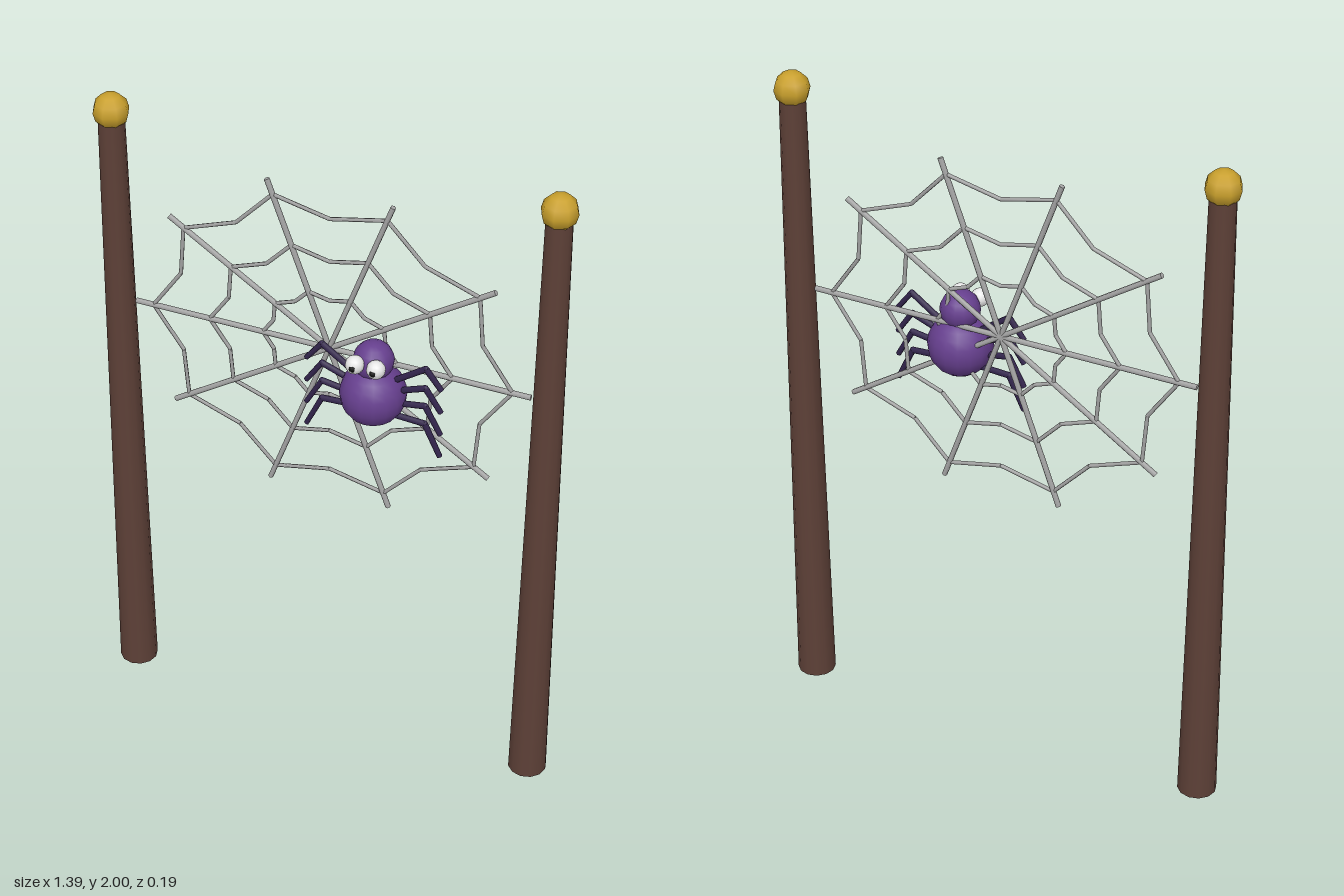
import * as THREE from 'three';

const mat = (name, color) => {
  const m = new THREE.MeshStandardMaterial({ color });
  m.name = name;
  return m;
};

export function createModel() {
  const wood = mat('brown wood', 0x5d4037);
  const gold = mat('gold', 0xc9a02c);
  const silk = mat('grey silk', 0xa6a6a6);
  const purple = mat('purple', 0x663f8e);
  const darkPurple = mat('dark purple', 0x32244c);
  const white = mat('white', 0xeeeeee);
  const black = mat('black', 0x111111);

  const model = new THREE.Group();
  model.name = 'webBetweenPosts';

  const add = (parent, name, geometry, material, x = 0, y = 0, z = 0) => {
    const mesh = new THREE.Mesh(geometry, material);
    mesh.name = name;
    mesh.position.set(x, y, z);
    parent.add(mesh);
    return mesh;
  };

  // Straight round rod between two points
  const up = new THREE.Vector3(0, 1, 0);
  const rod = (parent, name, a, b, r0, r1, sides, material) => {
    const dir = b.clone().sub(a);
    const mesh = add(parent, name, new THREE.CylinderGeometry(r1, r0, dir.length(), sides), material);
    mesh.position.copy(a).add(b).multiplyScalar(0.5);
    mesh.quaternion.setFromUnitVectors(up, dir.normalize());
  };

  // Tapered posts with ball finials
  for (const side of [-1, 1]) {
    add(model, 'post', new THREE.CylinderGeometry(0.037, 0.057, 1.94, 12), wood, side * 0.64, 0.97, -0.04);
    add(model, 'finial', new THREE.SphereGeometry(0.052, 8, 6), gold, side * 0.64, 1.948, -0.04);
  }

  // Web: ten spokes on an ellipse, three sagging rings
  const web = new THREE.Group();
  web.name = 'web';
  web.position.set(0, 1.34, -0.04);
  model.add(web);
  const spokes = 10;
  const onWeb = (i, k) => {
    const a = (i / spokes) * Math.PI * 2;
    return new THREE.Vector3(Math.cos(a) * 0.59 * k, Math.sin(a) * 0.53 * k, 0);
  };
  for (let i = 0; i < spokes; i++) {
    rod(web, 'spoke', new THREE.Vector3(), onWeb(i, 1), 0.008, 0.008, 6, silk);
    for (const k of [0.34, 0.615, 0.91]) {
      const a = onWeb(i, k);
      const b = onWeb(i + 1, k);
      const sag = a.clone().add(b).multiplyScalar(0.5 * 0.92);
      rod(web, 'ringStrand', a, sag, 0.006, 0.006, 5, silk);
      rod(web, 'ringStrand', sag, b, 0.006, 0.006, 5, silk);
    }
  }

  // Spider body and head
  const spider = new THREE.Group();
  spider.name = 'spider';
  spider.position.set(0.148, 0, 0);
  model.add(spider);
  add(spider, 'body', new THREE.SphereGeometry(0.094, 16, 12), purple, 0, 1.258, 0);
  add(spider, 'head', new THREE.SphereGeometry(0.058, 14, 10), purple, 0, 1.368, 0);

  for (const side of [-1, 1]) {
    add(spider, 'eye', new THREE.SphereGeometry(0.027, 12, 8), white, side * 0.031, 1.383, 0.06);
    add(spider, 'pupil', new THREE.SphereGeometry(0.011, 8, 6), black, side * 0.03, 1.383, 0.079);

    // Four bent legs: heights of hip, knee and tip
    const legs = [
      [1.315, 1.38, 1.32],
      [1.28, 1.315, 1.245],
      [1.24, 1.255, 1.17],
      [1.2, 1.195, 1.095],
    ];
    for (const [hip, knee, tip] of legs) {
      const h = new THREE.Vector3(side * 0.06, hip, 0);
      const k = new THREE.Vector3(side * 0.153, knee, 0);
      const t = new THREE.Vector3(side * 0.2, tip, 0);
      rod(spider, 'upperLeg', h, k, 0.009, 0.009, 6, darkPurple);
      rod(spider, 'lowerLeg', k, t, 0.009, 0.008, 6, darkPurple);
      add(spider, 'knee', new THREE.SphereGeometry(0.009, 6, 5), darkPurple, k.x, k.y, 0);
    }
  }

  return model;
}
